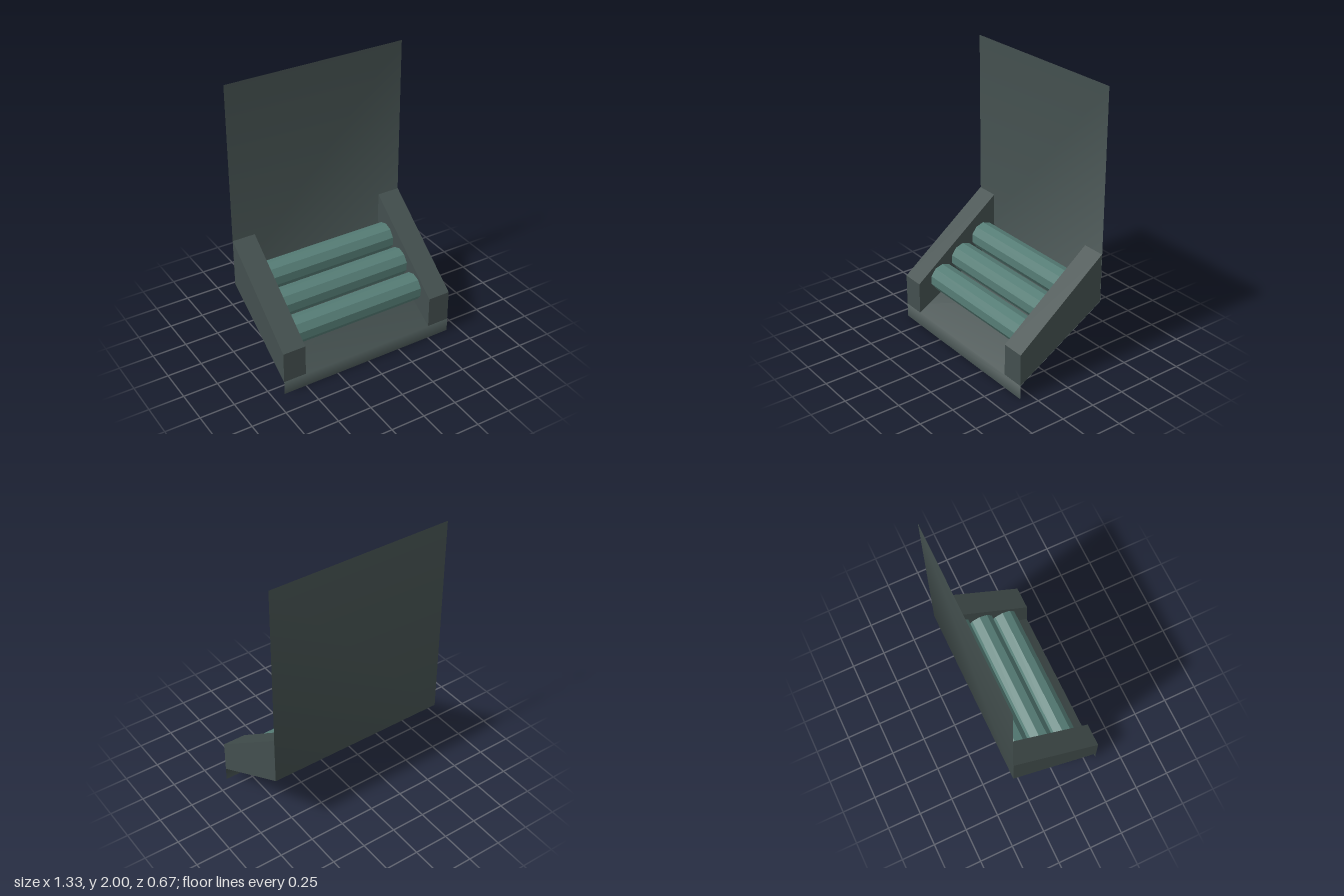
import * as THREE from 'three';

export function createModel() {
  const group = new THREE.Group();
  const darkMetal = new THREE.MeshStandardMaterial({ color: 0x434f4e, side: THREE.DoubleSide });
  darkMetal.name = 'dark metal';
  const rollerGreen = new THREE.MeshStandardMaterial({ color: 0x557c75, flatShading: true });
  rollerGreen.name = 'roller green';

  const add = (name, geometry, material) => {
    const mesh = new THREE.Mesh(geometry, material);
    mesh.name = name;
    group.add(mesh);
    return mesh;
  };

  // Folded sheet: tall back, sloping bed and short front lip, as [z, y] from top to bottom
  const folds = [[-0.333, 2], [-0.333, 0.5], [0.333, 0.1], [0.333, 0]];
  const sheet = new THREE.PlaneGeometry(1.333, 2, 1, folds.length - 1);
  const pos = sheet.attributes.position;
  for (let i = 0; i < pos.count; i++) {
    const [z, y] = folds[Math.floor(i / 2)];
    pos.setXYZ(i, pos.getX(i), y, z);
  }
  sheet.computeVertexNormals();
  add('foldedSheet', sheet, darkMetal);

  // Sloping side rails, drawn in the z-y plane and extruded across x
  const profile = new THREE.Shape([[0.333, 0.102], [0.333, 0.333], [-0.331, 0.85], [-0.331, 0.502]]
    .map(([z, y]) => new THREE.Vector2(-z, y)));
  for (const [name, x] of [['leftRail', 0.5], ['rightRail', -0.6665]]) {
    const rail = new THREE.ExtrudeGeometry(profile, { depth: 0.1665, bevelEnabled: false });
    rail.rotateY(Math.PI / 2);
    add(name, rail, darkMetal).position.x = x;
  }

  // Three ten-sided rollers stepping up the bed
  for (let i = 0; i < 3; i++) {
    const roller = new THREE.CylinderGeometry(0.1, 0.1, 1, 10, 1, false, Math.PI / 2);
    roller.rotateZ(Math.PI / 2);
    add('roller' + (i + 1), roller, rollerGreen).position.set(0, 0.333 + i * 0.113, 0.133 - i * 0.181);
  }
  return group;
}
